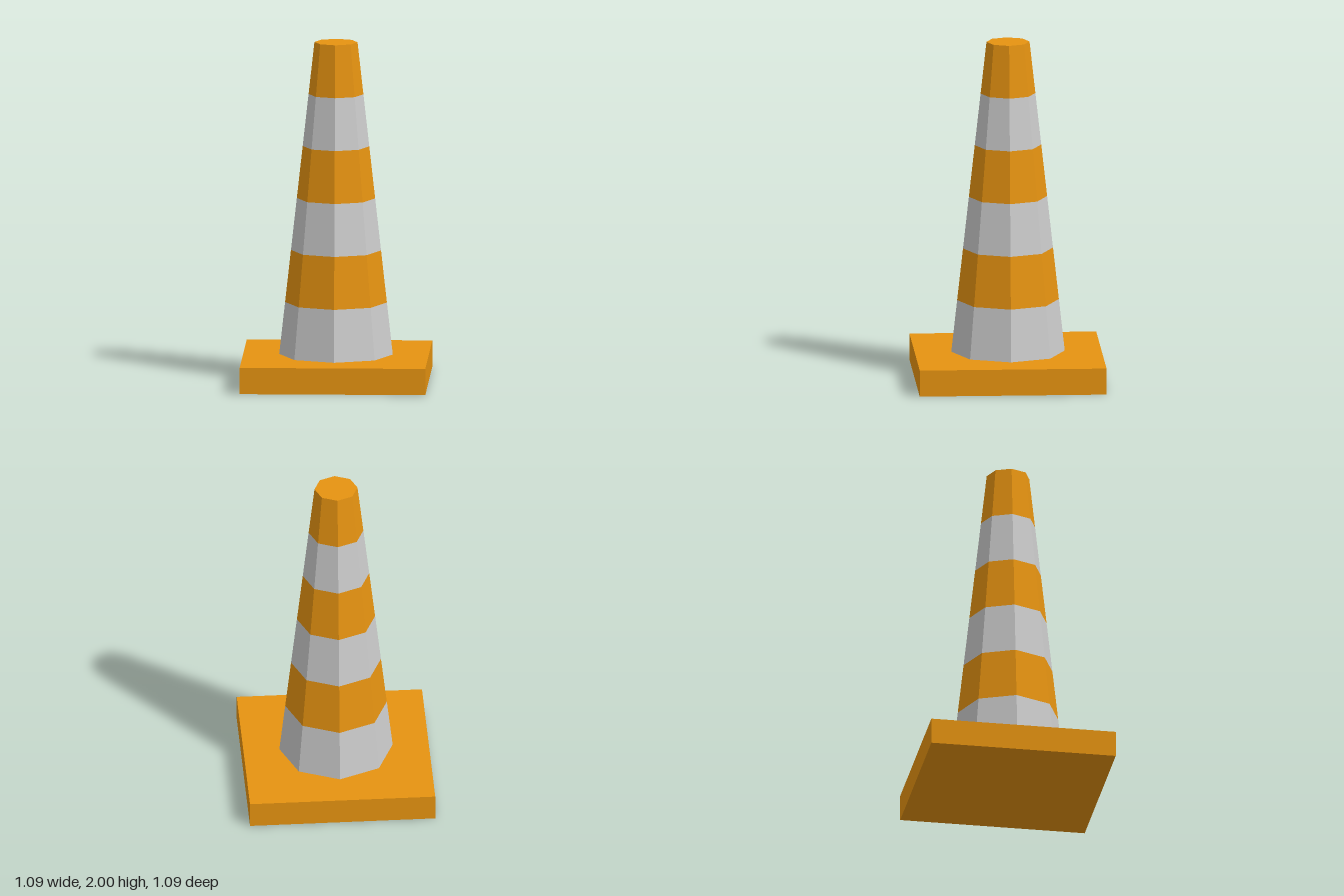
import * as THREE from 'three';

export function createModel() {
  const group = new THREE.Group();
  group.name = 'trafficCone';

  const orange = new THREE.MeshStandardMaterial({ color: 0xe69311, flatShading: true });
  const grey = new THREE.MeshStandardMaterial({ color: 0xcccccc, flatShading: true });

  const add = (name, geometry, material, y) => {
    const mesh = new THREE.Mesh(geometry, material);
    mesh.name = name;
    mesh.position.y = y;
    group.add(mesh);
    return mesh;
  };

  const sides = 8, bands = 6;
  const baseTop = 0.155, coneTop = 2;
  const bottomRadius = 0.332, topRadius = 0.126;

  // Square foot
  add('base', new THREE.BoxGeometry(1.085, baseTop, 1.093), orange, baseTop / 2);

  // Tapered eight-sided body in alternating grey and orange bands
  const bandHeight = (coneTop - baseTop) / bands;
  const radiusAt = (i) => THREE.MathUtils.lerp(bottomRadius, topRadius, i / bands);
  for (let i = 0; i < bands; i++) {
    const geometry = new THREE.CylinderGeometry(radiusAt(i + 1), radiusAt(i), bandHeight, sides, 1, true);
    const isGrey = i % 2 === 0;
    add(`${isGrey ? 'grey' : 'orange'}Band${i + 1}`, geometry, isGrey ? grey : orange,
      baseTop + bandHeight * (i + 0.5));
  }

  // Flat closed tip
  const tip = add('topCap', new THREE.CircleGeometry(topRadius, sides), orange, coneTop);
  tip.rotation.x = -Math.PI / 2;

  return group;
}
